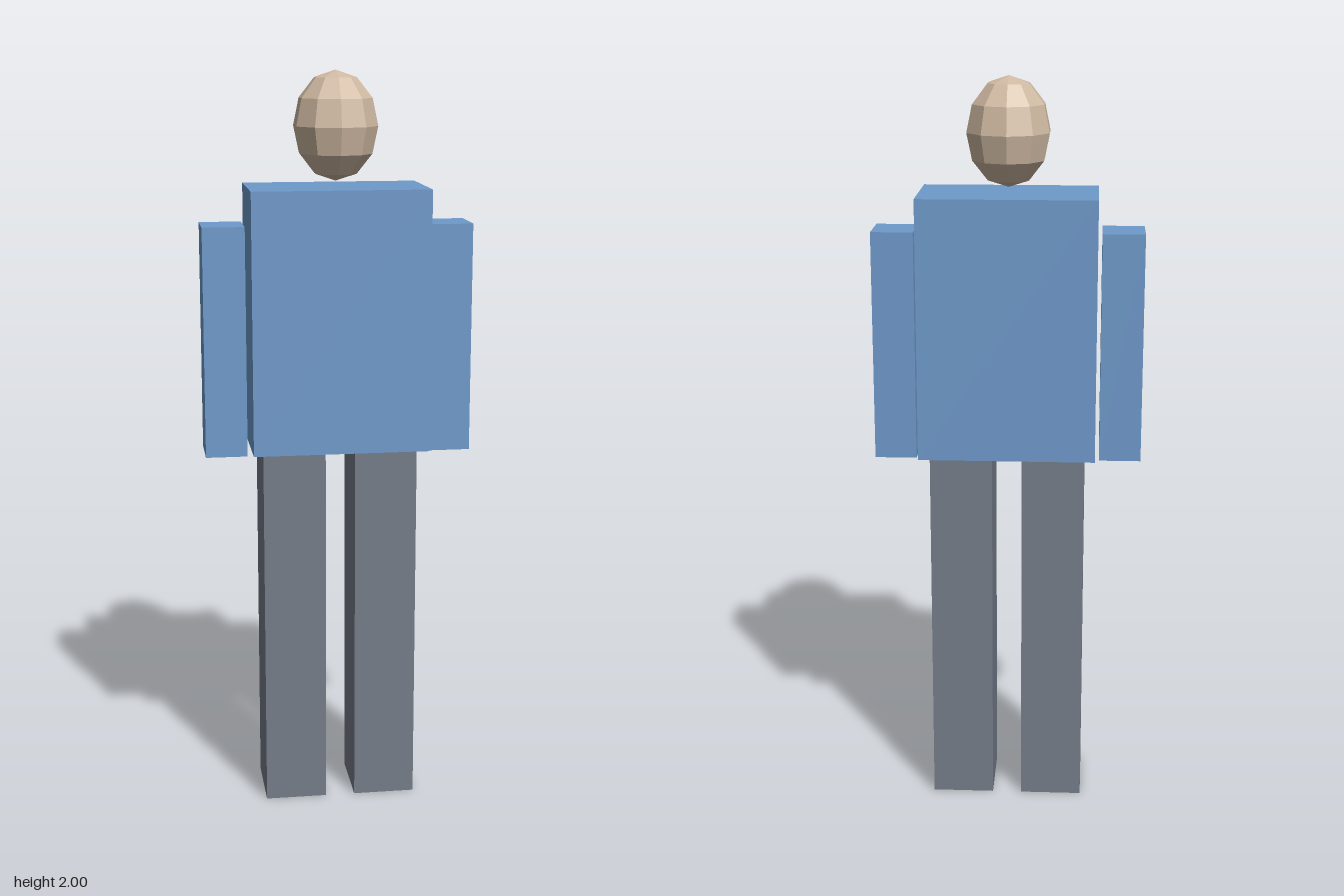
import * as THREE from 'three';

const material = (name, color, flatShading = false) => {
  const m = new THREE.MeshStandardMaterial({ color, flatShading });
  m.name = name;
  return m;
};

export function createModel() {
  const model = new THREE.Group();
  model.name = 'blockFigure';
  const shirt = material('shirtBlue', 0x6f9acb);
  const trousers = material('trouserGrey', 0x757d89);
  const skin = material('skinTan', 0xcfb9a2, true);

  // Box given by its width, depth, bottom and top heights
  const block = (name, mat, x, width, depth, bottom, top) => {
    const mesh = new THREE.Mesh(new THREE.BoxGeometry(width, top - bottom, depth), mat);
    mesh.name = name;
    mesh.position.set(x, (top + bottom) / 2, 0);
    model.add(mesh);
  };

  block('torso', shirt, 0, 0.472, 0.268, 1.003, 1.7);

  // Arms and legs, mirrored
  for (const [side, s] of [['left', 1], ['right', -1]]) {
    block(side + 'Arm', shirt, s * 0.303, 0.112, 0.134, 0.988, 1.603);
    block(side + 'Leg', trousers, s * 0.124, 0.168, 0.2, 0, 1.003);
  }

  // Faceted egg-shaped head, with a vertical edge facing the front
  const headShape = new THREE.SphereGeometry(1, 10, 6, Math.PI / 2);
  headShape.scale(0.113, 0.143, 0.123);
  const head = new THREE.Mesh(headShape, skin);
  head.name = 'head';
  head.position.y = 1.857;
  model.add(head);

  return model;
}
